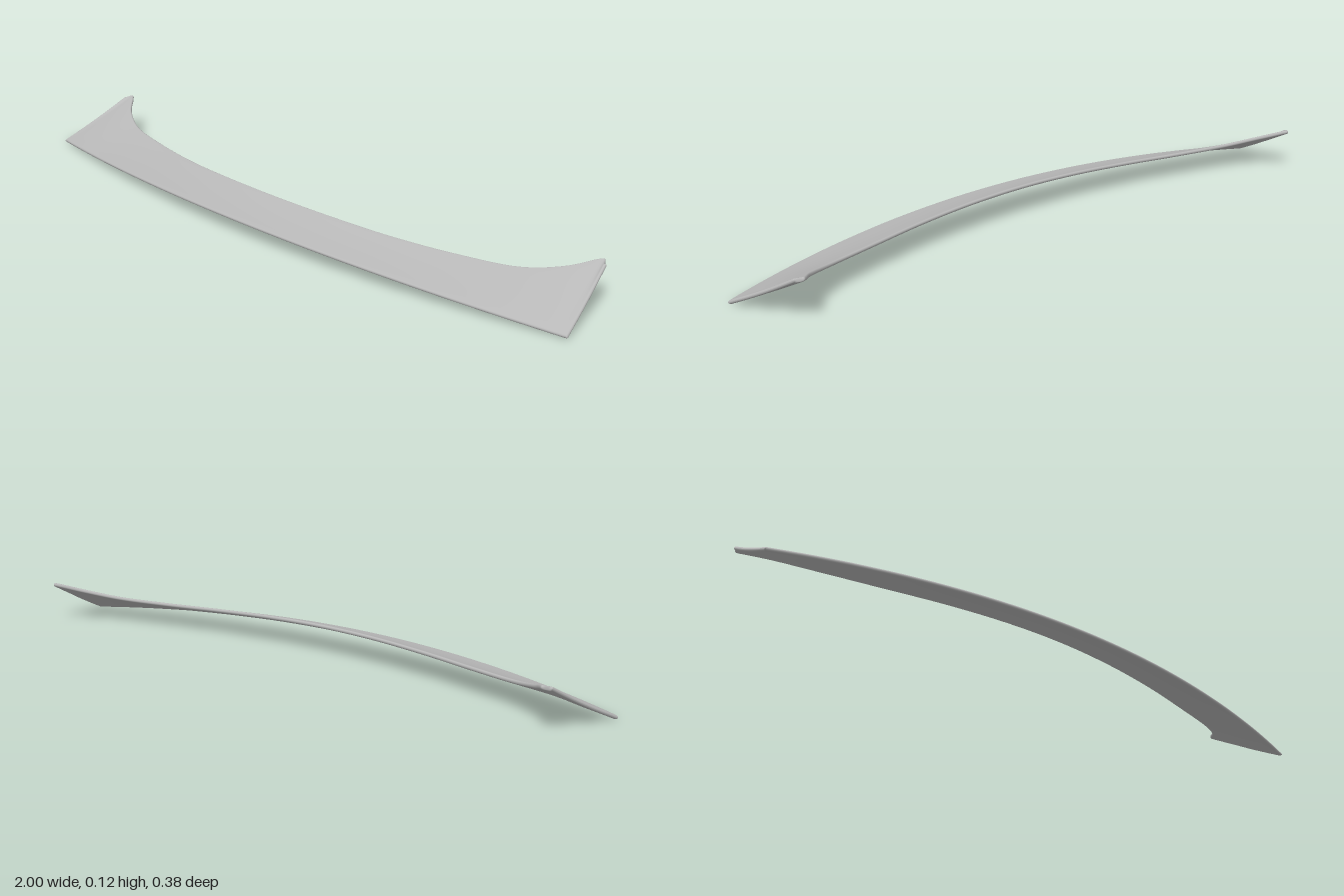
import * as THREE from 'three';

const R = 0.0055; // half the blade thickness
const vec = (p) => new THREE.Vector3(...p);

// Right half of an edge, mirrored into one smooth curve across the full span
function edgeCurve(half) {
  const mirrored = half.slice(1).reverse().map(([x, y, z]) => [-x, y, z]);
  return new THREE.CatmullRomCurve3([...mirrored, ...half].map(vec));
}

// Leading edge: a shallow bow dropping towards the corners
const frontEdge = edgeCurve(
  [0, 0.2, 0.4, 0.6, 0.76, 0.86, 0.94, 0.975, 0.995]
    .map((x) => [x, 0.051 - 0.0455 * x * x, 0.19 - 0.14 * x * x]));

// Trailing edge: deeper bow rising to a pointed tip at each end
const backEdge = edgeCurve([
  [0, 0.087, 0.048], [0.2, 0.085, 0.04], [0.4, 0.08, 0.017],
  [0.6, 0.077, -0.024], [0.77, 0.081, -0.071], [0.87, 0.099, -0.128],
  [0.922, 0.117, -0.18], [0.936, 0.12, -0.19], [0.948, 0.115, -0.172],
]);

// Closed section with rounded noses, from leading edge to trailing edge
function section(f, b, r, shiftX) {
  const chord = b.clone().sub(f);
  const length = chord.length();
  const dir = chord.clone().normalize();
  const up = new THREE.Vector3(1, 0, 0).cross(dir).normalize();
  const ring = [];
  const add = (s, h) => {
    const sag = 0.003 * Math.sin(Math.PI * s / length);
    const p = f.clone().addScaledVector(dir, s).addScaledVector(up, h - sag);
    p.x += shiftX;
    ring.push(p);
  };
  const nose = 6, flat = 10;
  for (let k = 0; k <= nose; k++) {
    const a = Math.PI * (k / nose - 0.5);
    add(r - r * Math.cos(a), r * Math.sin(a));
  }
  for (let k = 1; k < flat; k++) add(r + (length - 2 * r) * k / flat, r);
  for (let k = 0; k <= nose; k++) {
    const a = Math.PI * (0.5 - k / nose);
    add(length - r + r * Math.cos(a), r * Math.sin(a));
  }
  for (let k = flat - 1; k > 0; k--) add(r + (length - 2 * r) * k / flat, -r);
  return ring;
}

function bladeGeometry() {
  const rings = [];
  const steps = 96, endSteps = 5;
  const at = (u, r, shift) => rings.push(section(frontEdge.getPoint(u), backEdge.getPoint(u), r, shift));
  // Rounded side edges close the section down to a line
  for (let k = endSteps; k > 0; k--) {
    const a = k / endSteps * Math.PI / 2;
    at(0, R * Math.cos(a), -R * Math.sin(a));
  }
  for (let i = 0; i <= steps; i++) at(i / steps, R, 0);
  for (let k = 1; k <= endSteps; k++) {
    const a = k / endSteps * Math.PI / 2;
    at(1, R * Math.cos(a), R * Math.sin(a));
  }

  const n = rings[0].length;
  const index = [];
  for (let i = 0; i < rings.length - 1; i++) {
    for (let j = 0; j < n; j++) {
      const a = i * n + j, b = i * n + (j + 1) % n;
      index.push(a, a + n, b + n, a, b + n, b);
    }
  }
  const geometry = new THREE.BufferGeometry().setFromPoints(rings.flat());
  geometry.setIndex(index);
  geometry.computeVertexNormals();
  // Rest on the ground, centred
  geometry.computeBoundingBox();
  const c = geometry.boundingBox.getCenter(new THREE.Vector3());
  geometry.translate(-c.x, -geometry.boundingBox.min.y, -c.z);
  return geometry;
}

export function createModel() {
  const grey = new THREE.MeshStandardMaterial({ color: 0xb8b8b8 });
  grey.name = 'light grey';
  const blade = new THREE.Mesh(bladeGeometry(), grey);
  blade.name = 'curvedBlade';
  const model = new THREE.Group();
  model.name = 'curvedSpoiler';
  model.add(blade);
  return model;
}
